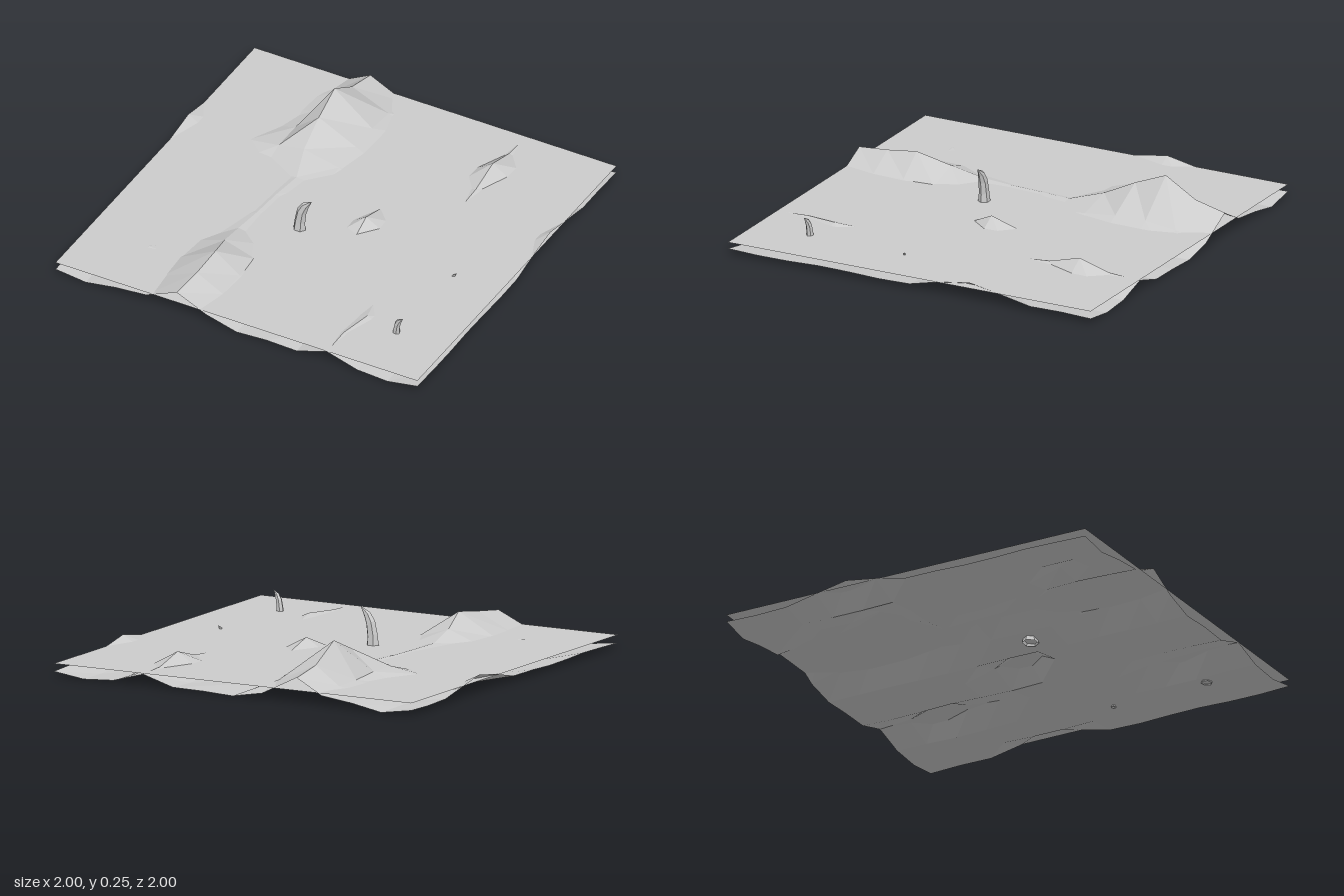
import * as THREE from 'three';

const material = new THREE.MeshStandardMaterial({ color: 0xcccccc, flatShading: true, side: THREE.DoubleSide });
const WATER = 0.062;
const N = 12; // terrain cells per side

// Seabed height of each terrain column, before hills are added
const seabed = [0.03, 0.004, 0.03, 0.04, 0.05, 0.03, 0.002, 0.01, 0.012, 0.035, 0.012, 0.006, 0.03];

// Hill range, one row per z step: crest x, then heights of columns 2 to 5
const range = [
  [-0.36, 0.03, 0.05, 0.125, 0.03],
  [-0.37, 0.03, 0.07, 0.16, 0.07],
  [-0.375, 0.04, 0.072, 0.255, 0.088],
  [-0.37, 0.035, 0.085, 0.19, 0.085],
  [-0.36, 0.06, 0.085, 0.11, 0.068],
  [-0.31, 0.03, 0.035, 0.067, 0.05],
  [-0.33, 0.02, 0.03, 0.066, 0.035],
  [-0.34, 0.02, 0.03, 0.066, 0.03],
  [-0.355, 0.02, 0.045, 0.07, 0.03],
  [-0.34, 0.02, 0.052, 0.11, 0.055],
  [-0.3, 0.064, 0.057, 0.165, 0.066],
  [-0.31, 0.03, 0.052, 0.14, 0.062],
  [-0.33, 0.03, 0.045, 0.12, 0.045],
];

// Lone islets: column, row, height
const islets = [
  [7, 6, 0.105], [7, 5, 0.055], [7, 7, 0.03],
  [9, 0, 0.058], [9, 1, 0.068], [9, 2, 0.115], [9, 3, 0.07], [9, 4, 0.058],
  [9, 9, 0.055], [9, 10, 0.075], [9, 11, 0.067], [9, 12, 0.06],
  [0, 3, 0.06], [0, 4, 0.092], [0, 5, 0.065],
  [12, 3, 0.06], [12, 4, 0.092], [12, 5, 0.065],
];

function makeTerrain() {
  const geo = new THREE.PlaneGeometry(2, 2, N, N).rotateX(-Math.PI / 2);
  const pos = geo.attributes.position;
  const id = (col, row) => row * (N + 1) + col;
  for (let row = 0; row <= N; row++) {
    for (let col = 0; col <= N; col++) {
      // gentle ripple keeps the seabed uneven
      const ripple = 0.004 * (1 + Math.sin(col * 2.3 + row * 1.7));
      pos.setY(id(col, row), Math.max(0, seabed[col] - ripple));
    }
    const [crestX, ...heights] = range[row];
    heights.forEach((h, k) => pos.setY(id(k + 2, row), h));
    pos.setX(id(4, row), crestX);
  }
  for (const [col, row, h] of islets) pos.setY(id(col, row), h);
  pos.setX(id(9, 10), 0.54);
  geo.computeVertexNormals();
  return geo;
}

// Curved tapering horn, open at the foot: x, y, half width, half depth per ring
function makeHorn() {
  const rings = [
    [-0.005, 0, 0.045, 0.04], [0, 0.05, 0.034, 0.03], [0.003, 0.11, 0.028, 0.024],
    [0.013, 0.17, 0.024, 0.021], [0.032, 0.21, 0.017, 0.015], [0.067, 0.244, 0.001, 0.001],
  ];
  const sides = 6, verts = [], index = [];
  rings.forEach(([x, y, w, d], i) => {
    for (let s = 0; s < sides; s++) {
      const a = (s / sides) * Math.PI * 2;
      // rings lean with the bend
      const tilt = i < 2 ? 0 : -0.15 * i * w * Math.cos(a);
      verts.push(x + w * Math.cos(a), y + tilt, d * Math.sin(a));
      if (i === rings.length - 1) continue;
      const b = i * sides + s, c = i * sides + ((s + 1) % sides);
      index.push(b, b + sides, c, c, b + sides, c + sides);
    }
  });
  const geo = new THREE.BufferGeometry();
  geo.setAttribute('position', new THREE.Float32BufferAttribute(verts, 3));
  geo.setIndex(index);
  geo.computeVertexNormals();
  return geo;
}

export function createModel() {
  const model = new THREE.Group();
  model.name = 'islandSea';
  const add = (name, geo) => {
    const mesh = new THREE.Mesh(geo, material);
    mesh.name = name;
    model.add(mesh);
    return mesh;
  };

  add('terrain', makeTerrain());

  // Flat sea surface cutting through the hills
  add('waterSurface', new THREE.PlaneGeometry(2, 2).rotateX(-Math.PI / 2)).position.y = WATER;

  // Rock horns: x, z, scale, turn
  const horn = makeHorn();
  [
    ['largeHorn', -0.1, 0.185, 1, 0],
    ['mediumHorn', 0.718, 0.7, 0.66, -0.25],
    ['smallHorn', 0.735, 0.17, 0.32, 0.4],
  ].forEach(([name, x, z, scale, turn]) => {
    const mesh = add(name, horn);
    mesh.position.set(x, 0, z);
    mesh.scale.setScalar(scale);
    mesh.rotation.y = turn;
  });

  return model;
}
